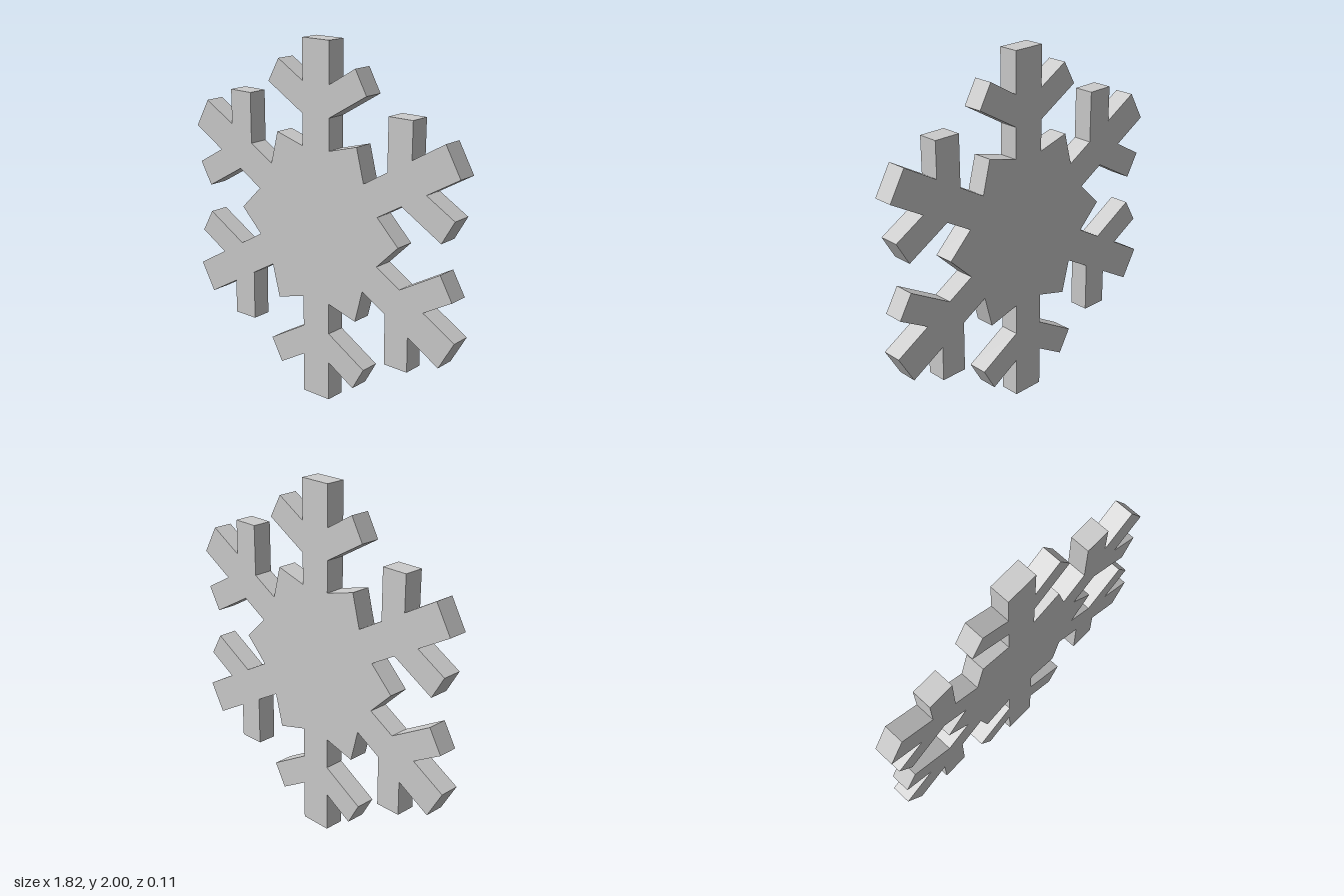
import * as THREE from 'three';

const DEPTH = 0.112;

// Right half of one upright arm, from its end down to the hub point
const HALF_ARM = [
  [0.092, 1.0], [0.092, 0.775], // arm end, upper branch root
  [0.263, 0.875], [0.337, 0.745], // branch end
  [0.092, 0.602], [0.092, 0.427], // lower branch root, arm root
];
const HUB_POINT = [0.276, 0.478]; // spike between two arms

export function createModel() {
  const group = new THREE.Group();
  group.name = 'snowflake';

  // One sector: mirrored left half, right half, then the spike
  const sector = [
    ...HALF_ARM.map(([x, y]) => [-x, y]).reverse(),
    ...HALF_ARM,
    HUB_POINT,
  ].map(([x, y]) => new THREE.Vector2(x, y));

  // Repeat the sector six times around the centre
  const outline = [];
  const centre = new THREE.Vector2();
  for (let i = 0; i < 6; i++) {
    for (const p of sector) outline.push(p.clone().rotateAround(centre, -i * Math.PI / 3));
  }

  const geometry = new THREE.ExtrudeGeometry(new THREE.Shape(outline), {
    depth: DEPTH,
    bevelEnabled: false,
  });
  geometry.translate(0, 1, -DEPTH / 2);

  const flake = new THREE.Mesh(
    geometry,
    new THREE.MeshStandardMaterial({ color: 0xcccccc, flatShading: true })
  );
  flake.name = 'snowflakePlate';
  group.add(flake);
  return group;
}
